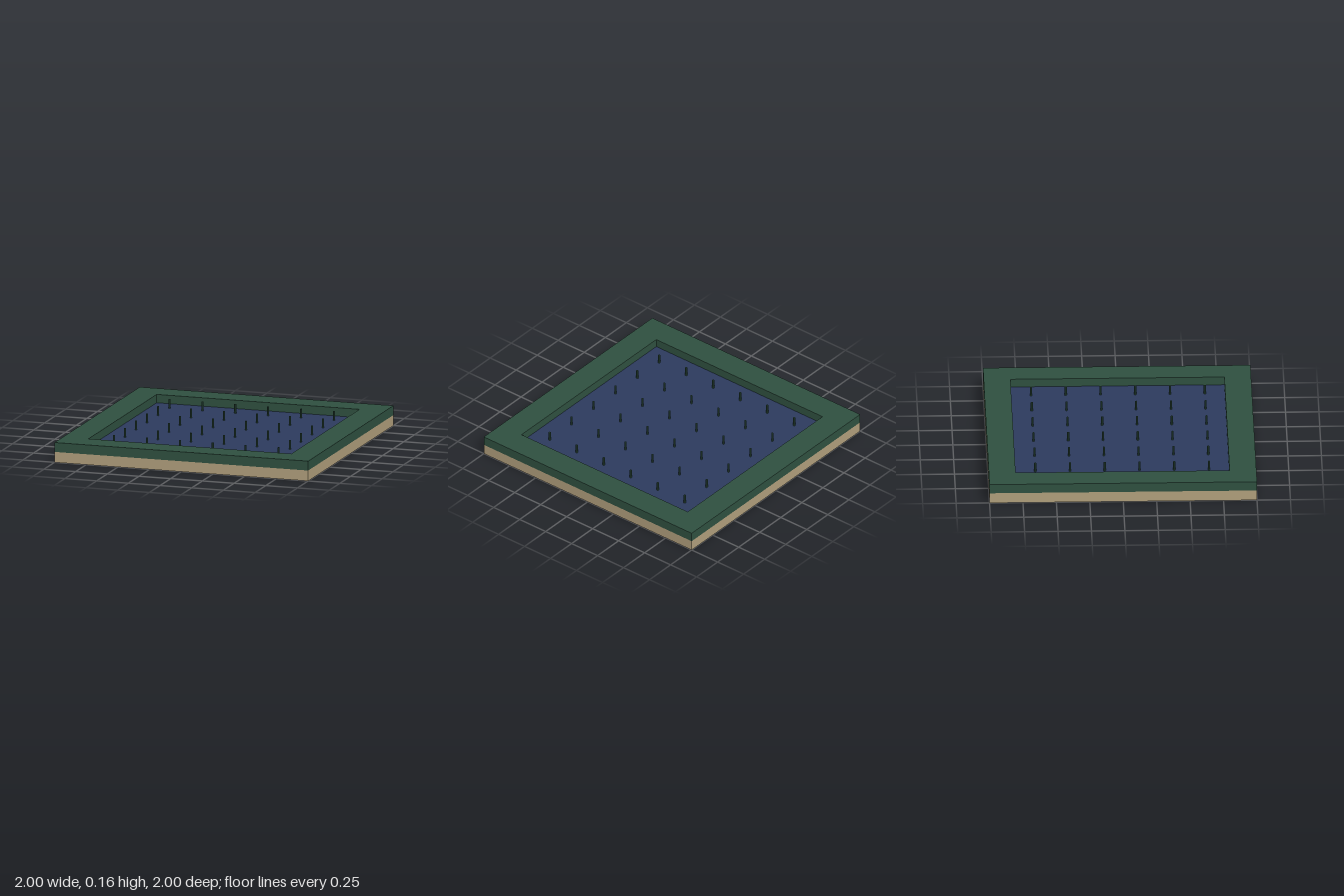
import * as THREE from 'three';

const material = (color) => new THREE.MeshStandardMaterial({ color, flatShading: true });

export function createModel() {
  const group = new THREE.Group();
  const green = material(0x2f5040);
  const add = (name, geometry, mat, x, y, z) => {
    const mesh = new THREE.Mesh(geometry, mat);
    mesh.name = name;
    mesh.position.set(x, y, z);
    group.add(mesh);
  };

  const baseTop = 0.08, frameTop = 0.152, floorTop = 0.088, pegTop = 0.158;

  // Sand-coloured base slab
  add('base', new THREE.BoxGeometry(2, baseTop, 2), material(0xb09f7c), 0, baseTop / 2, 0);

  // Square frame with an open middle
  const outline = new THREE.Shape([[-1, -1], [1, -1], [1, 1], [-1, 1]].map(([x, y]) => new THREE.Vector2(x, y)));
  outline.holes.push(new THREE.Path([[-0.8, -0.8], [-0.8, 0.8], [0.8, 0.8], [0.8, -0.8]].map(([x, y]) => new THREE.Vector2(x, y))));
  const frame = new THREE.ExtrudeGeometry(outline, { depth: frameTop - baseTop, bevelEnabled: false });
  frame.rotateX(-Math.PI / 2);
  add('frame', frame, green, 0, baseTop, 0);

  // Recessed blue panel
  const panelHeight = floorTop - baseTop;
  add('panel', new THREE.BoxGeometry(1.6, panelHeight, 1.6), material(0x2c3a5e), 0, baseTop + panelHeight / 2, 0);

  // Six by six grid of thin pegs
  const pegHeight = pegTop - floorTop;
  const peg = new THREE.CylinderGeometry(0.008, 0.008, pegHeight, 8);
  for (let row = 0; row < 6; row++) {
    for (let column = 0; column < 6; column++) {
      add('peg', peg, green, (column - 2.5) * 0.26, floorTop + pegHeight / 2, (row - 2.5) * 0.26);
    }
  }
  return group;
}
